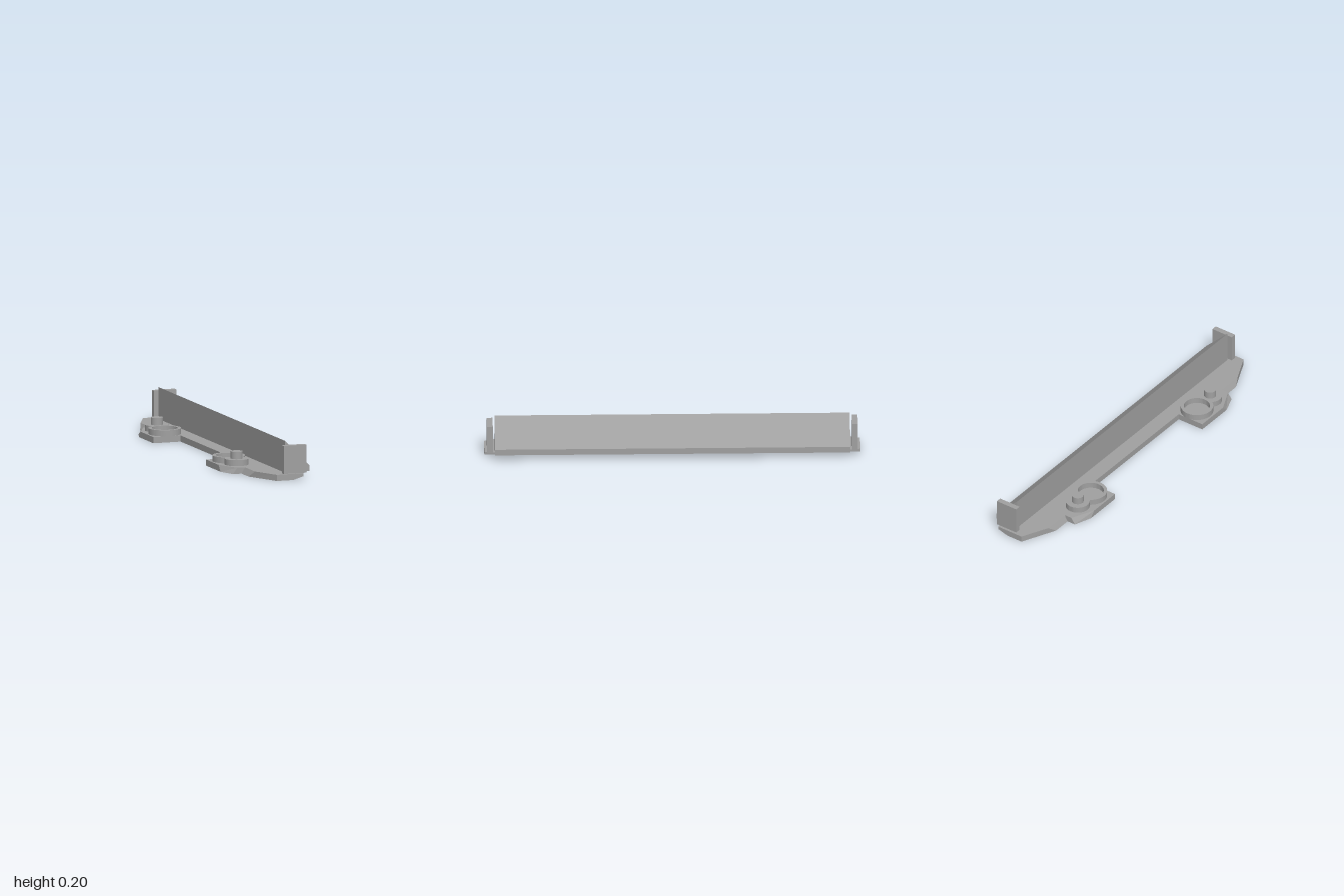
import * as THREE from 'three';
import { toCreasedNormals } from 'three/addons/utils/BufferGeometryUtils.js';

const grey = new THREE.MeshStandardMaterial({ color: 0xa0a0a0 });
grey.name = 'plain grey';

const PLATE = 0.033; // thickness of the base plate

// Completes a front half outline [x, z] with its mirror image across z = 0
const mirrorOutline = (half) => [...half.map(([x, z]) => [x, -z]).reverse(), ...half];

// Solid between two outlines with matching corners, each corner at height y(x)
function loft(bottom, top, bottomY, topY) {
  const b = bottom.map(([x, z]) => [x, bottomY(x), z]);
  const t = top.map(([x, z]) => [x, topY, z]);
  const pos = [];
  const cap = (outline, pts, flip) => {
    const contour = outline.map(([x, z]) => new THREE.Vector2(x, -z));
    for (const [i, j, k] of THREE.ShapeUtils.triangulateShape(contour, [])) {
      pos.push(...pts[i], ...pts[flip ? k : j], ...pts[flip ? j : k]);
    }
  };
  cap(top, t, false);
  cap(bottom, b, true);
  b.forEach((p, i) => {
    const j = (i + 1) % b.length;
    pos.push(...p, ...b[j], ...t[j], ...p, ...t[j], ...t[i]);
  });
  const geo = new THREE.BufferGeometry();
  geo.setAttribute('position', new THREE.Float32BufferAttribute(pos, 3));
  geo.computeVertexNormals();
  return geo;
}

// Outline of a large and a small disc merged together, with a round hole in the large one
function mountShape(R, r, d, hole) {
  const a = (d * d + R * R - r * r) / (2 * d);
  const h = Math.sqrt(R * R - a * a);
  const big = Math.atan2(h, a);
  const small = Math.atan2(h, d - a);
  const up = Math.PI / 2;
  const shape = new THREE.Shape();
  shape.absarc(0, 0, R, up + big, up - big + Math.PI * 2, false);
  shape.absarc(0, d, r, -up + small, -up - small + Math.PI * 2, false);
  const path = new THREE.Path();
  path.absarc(0, 0, hole, 0, Math.PI * 2, true);
  shape.holes.push(path);
  return shape;
}

export function createModel() {
  const model = new THREE.Group();
  const add = (name, geo, parent = model) => {
    const mesh = new THREE.Mesh(geo, grey);
    mesh.name = name;
    parent.add(mesh);
    return mesh;
  };

  // Base plate with two side tabs; some tab edges lean inwards
  const lower = [[-0.035, 0.393], [-0.19, 0.393], [-0.19, 0.61], [-0.155, 0.706],
    [-0.107, 0.706], [-0.107, 0.81], [-0.018, 1], [0.075, 1]];
  const upper = [[-0.035, 0.393], [-0.19, 0.393], [-0.19, 0.58], [-0.131, 0.706],
    [-0.087, 0.706], [-0.087, 0.854], [-0.018, 1], [0.075, 1]];
  add('basePlate', loft(mirrorOutline(lower), mirrorOutline(upper), () => 0, PLATE));

  // Lip that thins out to an edge, with cut corners
  const lip = mirrorOutline([[0.075, 1], [0.135, 1], [0.188, 0.8]]);
  add('baseLip', loft(lip, lip, (x) => PLATE * (x - 0.075) / 0.113, PLATE));

  // Long sloping wedge
  const wedge = new THREE.Shape([[0.048, PLATE], [0.188, PLATE], [0.188, 0.065], [0.048, 0.205]]
    .map(([x, y]) => new THREE.Vector2(x, y)));
  add('slopingPanel', new THREE.ExtrudeGeometry(wedge, { depth: 1.89, bevelEnabled: false })
    .translate(0, 0, -0.945));

  // End plates and the ring-and-peg mounts on the tabs
  const mountGeo = toCreasedNormals(new THREE.ExtrudeGeometry(
    mountShape(0.087, 0.064, 0.118, 0.069),
    { depth: 0.065 - PLATE, bevelEnabled: false, curveSegments: 32 },
  ).rotateX(-Math.PI / 2), 0.5);
  for (const s of [1, -1]) {
    const side = s > 0 ? 'front' : 'back';
    add(side + 'EndPlate', new THREE.BoxGeometry(0.128, 0.184 - PLATE, 0.03))
      .position.set(0.091, (0.184 + PLATE) / 2, s * 0.971);

    const mount = new THREE.Group();
    mount.name = side + 'Mount';
    mount.position.set(-0.093, PLATE, s * 0.478);
    if (s > 0) mount.rotation.y = Math.PI;
    add('ringAndDisc', mountGeo, mount);
    add('peg', new THREE.CylinderGeometry(0.032, 0.032, 0.039, 32), mount)
      .position.set(0, 0.0515, -0.118);
    model.add(mount);
  }
  return model;
}
